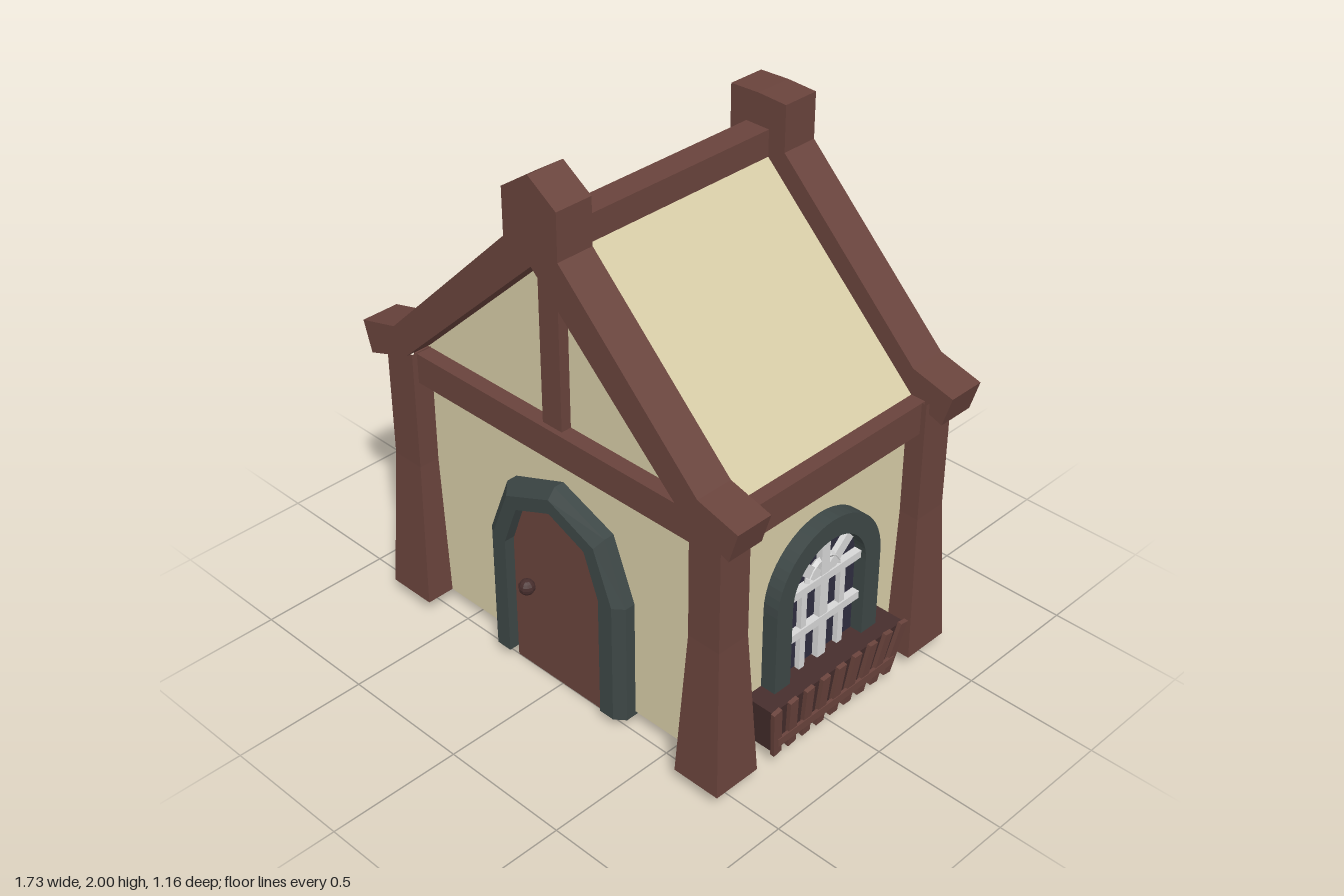
import * as THREE from 'three';

const mat = (name, color, extra = {}) => {
  const m = new THREE.MeshStandardMaterial({ color, flatShading: true, ...extra });
  m.name = name;
  return m;
};

export function createModel() {
  const timber = mat('timber brown', 0x69433c);
  const darkWood = mat('dark wood', 0x472e2d);
  const plaster = mat('cream plaster', 0xd6cba6, { side: THREE.DoubleSide });
  const stone = mat('slate stone', 0x3d4746);
  const glass = mat('dark glass', 0x2f2d40);
  const white = mat('white bars', 0xd6d6d6);

  const house = new THREE.Group();
  house.name = 'house';

  const add = (parent, name, geo, material, x = 0, y = 0, z = 0) => {
    const m = new THREE.Mesh(geo, material);
    m.name = name;
    m.position.set(x, y, z);
    parent.add(m);
    return m;
  };
  const box = (parent, name, material, w, h, d, x, y, z) =>
    add(parent, name, new THREE.BoxGeometry(w, h, d), material, x, y, z);
  // Straight bar between two points
  const bar = (parent, name, material, a, b, w, d) => {
    const p = new THREE.Vector3(...a), q = new THREE.Vector3(...b);
    const dir = q.clone().sub(p), mid = p.add(q).multiplyScalar(0.5);
    const m = box(parent, name, material, w, dir.length(), d, mid.x, mid.y, mid.z);
    m.quaternion.setFromUnitVectors(new THREE.Vector3(0, 1, 0), dir.normalize());
    return m;
  };
  const vecs = pts => pts.map(([x, y]) => new THREE.Vector2(x, y));
  // Symmetric outline from its right half, listed from the bottom up to the centre line
  const mirrored = half => {
    const left = half.filter(p => p[0] > 0).map(([x, y]) => [-x, y]).reverse();
    return vecs([...half, ...left]);
  };
  const extrude = (shape, depth, curveSegments = 8) =>
    new THREE.ExtrudeGeometry(shape, { depth, bevelEnabled: false, curveSegments });

  // Plaster shell: side walls and roof swept along z, open underneath
  const profile = [[0.7, 0.055], [0.7, 1.08], [0, 1.76], [-0.7, 1.08], [-0.7, 0.055]];
  const L = 0.47, pos = [];
  for (let i = 0; i < 4; i++) {
    const [ax, ay] = profile[i], [bx, by] = profile[i + 1];
    pos.push(ax, ay, L, ax, ay, -L, bx, by, -L, ax, ay, L, bx, by, -L, bx, by, L);
  }
  const shell = new THREE.BufferGeometry();
  shell.setAttribute('position', new THREE.Float32BufferAttribute(pos, 3));
  shell.computeVertexNormals();
  add(house, 'sideWallsAndRoof', shell, plaster);
  const gable = new THREE.ShapeGeometry(new THREE.Shape(vecs(profile)));
  add(house, 'frontWall', gable, plaster, 0, 0, L);
  add(house, 'backWall', gable, plaster, 0, 0, -L).rotation.y = Math.PI;

  // Flared corner posts, square in section and open at the foot
  const post = new THREE.LatheGeometry(
    vecs([[0.095, 0.055], [0.066, 0.62], [0.066, 1.08]].map(([r, y]) => [r * Math.SQRT2, y])), 4);
  post.rotateY(Math.PI / 4);
  for (const x of [-0.71, 0.71])
    for (const z of [-0.483, 0.485]) add(house, 'cornerPost', post, timber, x, 0, z);

  // Gable rafters with the cap at the ridge; pointed in front, flat at the back
  const rafters = peak => {
    const under = [[-0.645, 1.085], [0, 1.69], [0.645, 1.085]];
    const right = [[0.83, 1.02], [0.865, 1.135], [0.7, 1.18], [0.12, 1.75], [0.12, 1.92]];
    const left = right.map(([x, y]) => [-x, y]).reverse();
    return extrude(new THREE.Shape(vecs([...under, ...right, [0, peak], ...left])), 0.145);
  };
  add(house, 'frontRafters', rafters(2), timber, 0, 0, 0.43);
  add(house, 'backRafters', rafters(1.925), timber, 0, 0, -0.578);

  // Horizontal beams, ridge and gable post
  box(house, 'ridgeBeam', timber, 0.1, 0.1, 0.9, 0, 1.76, 0);
  for (const s of [-1, 1]) {
    box(house, 'crossBeam', timber, 1.32, 0.115, 0.1, 0, 1.018, s * 0.48);
    box(house, 'eavesBeam', timber, 0.1, 0.12, 0.88, s * 0.707, 1.02, 0);
    bar(house, 'backBrace', timber, [s * 0.05, 0.96, -0.485], [s * 0.67, 0.13, -0.485], 0.1, 0.07);
  }
  box(house, 'gablePost', timber, 0.088, 0.64, 0.06, 0, 1.37, 0.48);

  // Door with its stone surround
  const door = new THREE.Group();
  door.name = 'door';
  house.add(door);
  const doorHalf = [[0.226, 0], [0.226, 0.51], [0.165, 0.675], [0, 0.738]];
  add(door, 'doorLeaf', extrude(new THREE.Shape(mirrored(doorHalf)), 0.05), timber, 0, 0, 0.45);
  add(door, 'doorKnob', new THREE.SphereGeometry(0.03, 10, 8), darkWood, -0.14, 0.36, 0.525);

  // Surround: a section of four rings swept over the arch, the outer edge chamfered
  const rings = [
    { z: 0.45, p: [[0.325, 0.04], [0.325, 0.515], [0.232, 0.75], [0, 0.84]] },
    { z: 0.51, p: [[0.325, 0.04], [0.325, 0.515], [0.232, 0.75], [0, 0.84]] },
    { z: 0.54, p: [[0.288, 0.04], [0.288, 0.515], [0.208, 0.715], [0, 0.803]] },
    { z: 0.54, p: [[0.226, 0.04], [0.226, 0.515], [0.163, 0.68], [0, 0.748]] },
    { z: 0.45, p: [[0.226, 0.04], [0.226, 0.515], [0.163, 0.68], [0, 0.748]] },
  ].map(r => mirrored(r.p).map(v => [v.x, v.y, r.z]));
  const sp = [];
  const tri = (a, b, c) => sp.push(...a, ...b, ...c);
  for (let r = 0; r < rings.length - 1; r++)
    for (let i = 0; i < 6; i++) {
      const a = rings[r][i], b = rings[r][i + 1], c = rings[r + 1][i + 1], d = rings[r + 1][i];
      tri(a, b, c);
      tri(a, c, d);
    }
  for (let r = 1; r < 4; r++) {
    tri(rings[0][0], rings[r][0], rings[r + 1][0]);
    tri(rings[0][6], rings[r + 1][6], rings[r][6]);
  }
  const surround = new THREE.BufferGeometry();
  surround.setAttribute('position', new THREE.Float32BufferAttribute(sp, 3));
  surround.computeVertexNormals();
  add(door, 'doorSurround', surround, stone);

  // Arched window and planter, built facing +z
  const arch = (Type, w, y0, spring) => {
    const s = new Type();
    s.moveTo(-w, y0);
    s.lineTo(w, y0);
    s.lineTo(w, spring);
    s.absarc(0, spring, w, 0, Math.PI, false);
    s.lineTo(-w, y0);
    return s;
  };
  const makeWindow = () => {
    const g = new THREE.Group();
    const frame = arch(THREE.Shape, 0.255, 0.2, 0.58);
    frame.holes.push(arch(THREE.Path, 0.18, 0.24, 0.58));
    add(g, 'windowFrame', extrude(frame, 0.06, 12), stone);
    add(g, 'windowPane', extrude(arch(THREE.Shape, 0.19, 0.22, 0.58), 0.008, 12), glass, 0, 0, 0.004);
    // Glazing bars
    box(g, 'middleBar', white, 0.04, 0.51, 0.024, 0, 0.505, 0.026);
    for (const s of [-1, 1]) {
      box(g, 'sideBar', white, 0.026, 0.34, 0.02, s * 0.095, 0.42, 0.025);
      bar(g, 'fanBar', white, [0, 0.59, 0.025], [s * 0.125, 0.7, 0.025], 0.042, 0.02);
    }
    for (const y of [0.425, 0.595]) box(g, 'crossBar', white, 0.355, 0.03, 0.028, 0, y, 0.027);
    add(g, 'fanRing', new THREE.TorusGeometry(0.08, 0.012, 4, 8, Math.PI), white, 0, 0.595, 0.026);

    // Planter flaring outward to the top
    const body = new THREE.BoxGeometry(1, 1, 1), p = body.attributes.position;
    for (let i = 0; i < p.count; i++) {
      const top = p.getY(i) > 0;
      p.setXYZ(i, p.getX(i) * (top ? 0.66 : 0.58), top ? 0.268 : 0.058,
        p.getZ(i) > 0 ? (top ? 0.118 : 0.088) : 0);
    }
    body.computeVertexNormals();
    add(g, 'planterBox', body, darkWood);
    for (let i = -4; i <= 4; i++)
      bar(g, 'planterSlat', timber, [i * 0.07, 0.056, 0.096], [i * 0.08, 0.275, 0.127], 0.038, 0.016);
    box(g, 'planterRail', timber, 0.59, 0.03, 0.012, 0, 0.117, 0.112);
    return g;
  };
  for (const s of [-1, 1]) {
    const w = makeWindow();
    w.name = s > 0 ? 'leftWindow' : 'rightWindow';
    w.position.set(s * 0.7, 0, 0.008);
    w.rotation.y = s * Math.PI / 2;
    house.add(w);
  }
  return house;
}
